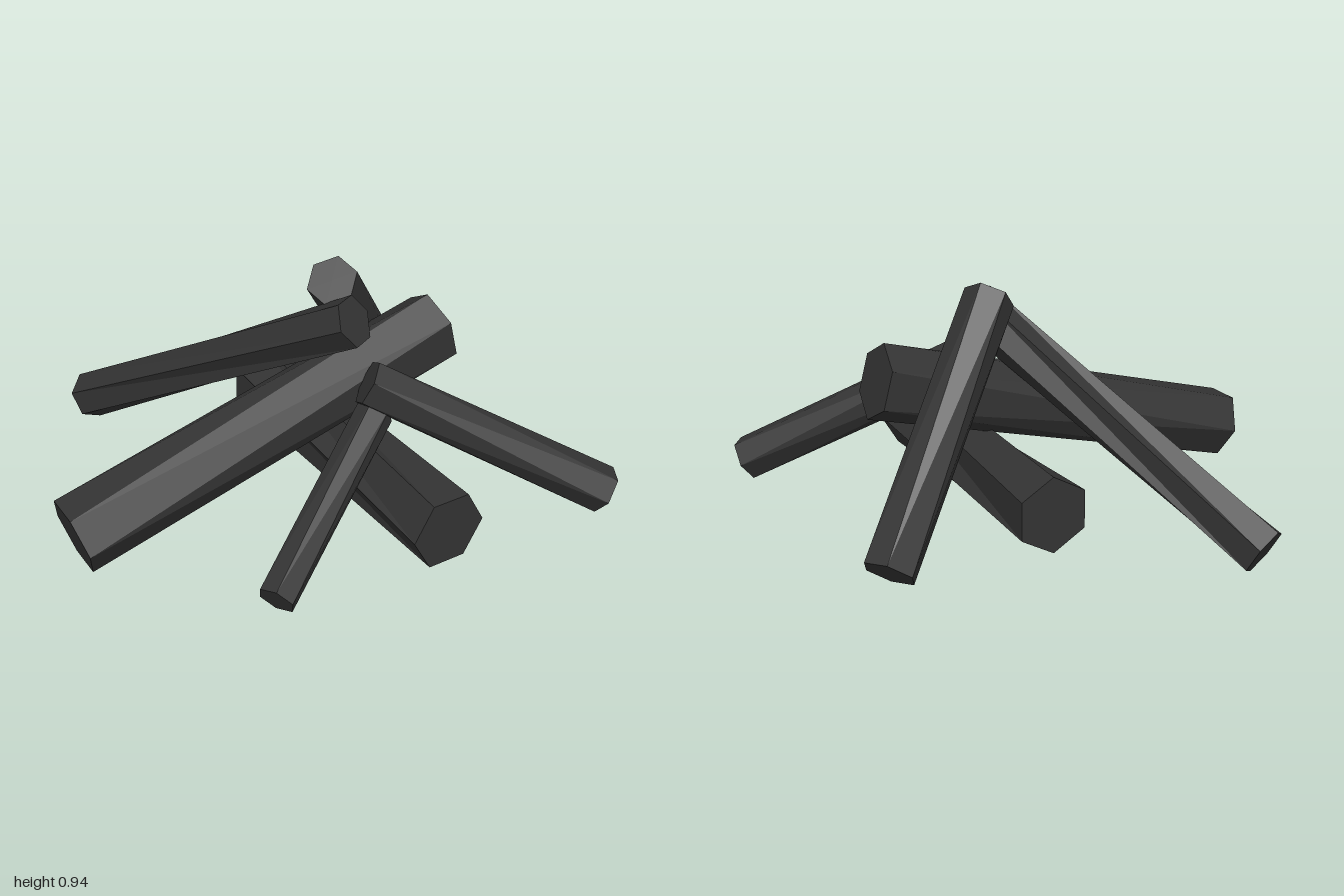
import * as THREE from 'three';

const charredWood = new THREE.MeshStandardMaterial({ color: 0x333333 });
charredWood.name = 'charredWood';

// Six-sided log between two points; roll (degrees) turns the hexagon at each end, 0 = corner up
function makeLog(name, from, to, r0, r1, roll0, roll1) {
  const a = new THREE.Vector3(...from), b = new THREE.Vector3(...to);
  const dir = b.clone().sub(a);
  const length = dir.length();
  dir.normalize();

  // Slight twist along the length
  const shape = new THREE.CylinderGeometry(r1, r0, length, 6);
  const pos = shape.attributes.position;
  const v = new THREE.Vector3(), axis = new THREE.Vector3(0, 1, 0);
  for (let i = 0; i < pos.count; i++) {
    v.fromBufferAttribute(pos, i);
    v.applyAxisAngle(axis, THREE.MathUtils.degToRad(v.y > 0 ? roll1 : roll0));
    pos.setXYZ(i, v.x, v.y, v.z);
  }
  const geometry = shape.toNonIndexed();
  geometry.computeVertexNormals(); // flat facets

  const up = new THREE.Vector3(0, 1, 0).addScaledVector(dir, -dir.y).normalize();
  const side = new THREE.Vector3().crossVectors(dir, up);
  const mesh = new THREE.Mesh(geometry, charredWood);
  mesh.name = name;
  mesh.quaternion.setFromRotationMatrix(new THREE.Matrix4().makeBasis(side, dir, up));
  mesh.position.copy(a).add(b).multiplyScalar(0.5);
  return mesh;
}

export function createModel() {
  const group = new THREE.Group();
  group.name = 'logPile';
  group.add(
    // Two thick logs crossing at the bottom
    makeLog('groundLog', [0.16, 0.21, -0.45], [0.19, 0.2, 0.825], 0.147, 0.15, 0, 30),
    makeLog('crossLog', [-0.95, 0.18, 0.165], [0.595, 0.6, 0.14], 0.145, 0.148, 30, 0),
    // Thinner logs leaning inwards
    makeLog('frontLeftLog', [0.93, 0.115, 0.82], [0.155, 0.57, 0.34], 0.092, 0.092, 30, 0),
    makeLog('frontRightLog', [-0.455, 0.09, 0.73], [0.18, 0.45, 0.36], 0.071, 0.071, 15, 0),
    makeLog('backRightLog', [-0.47, 0.1, -0.845], [0.13, 0.8, 0.28], 0.1, 0.098, 0, 30),
    makeLog('backLeftLog', [0.765, 0.097, -0.4], [0.15, 0.88, 0.095], 0.1, 0.098, 20, 0),
  );
  return group;
}
